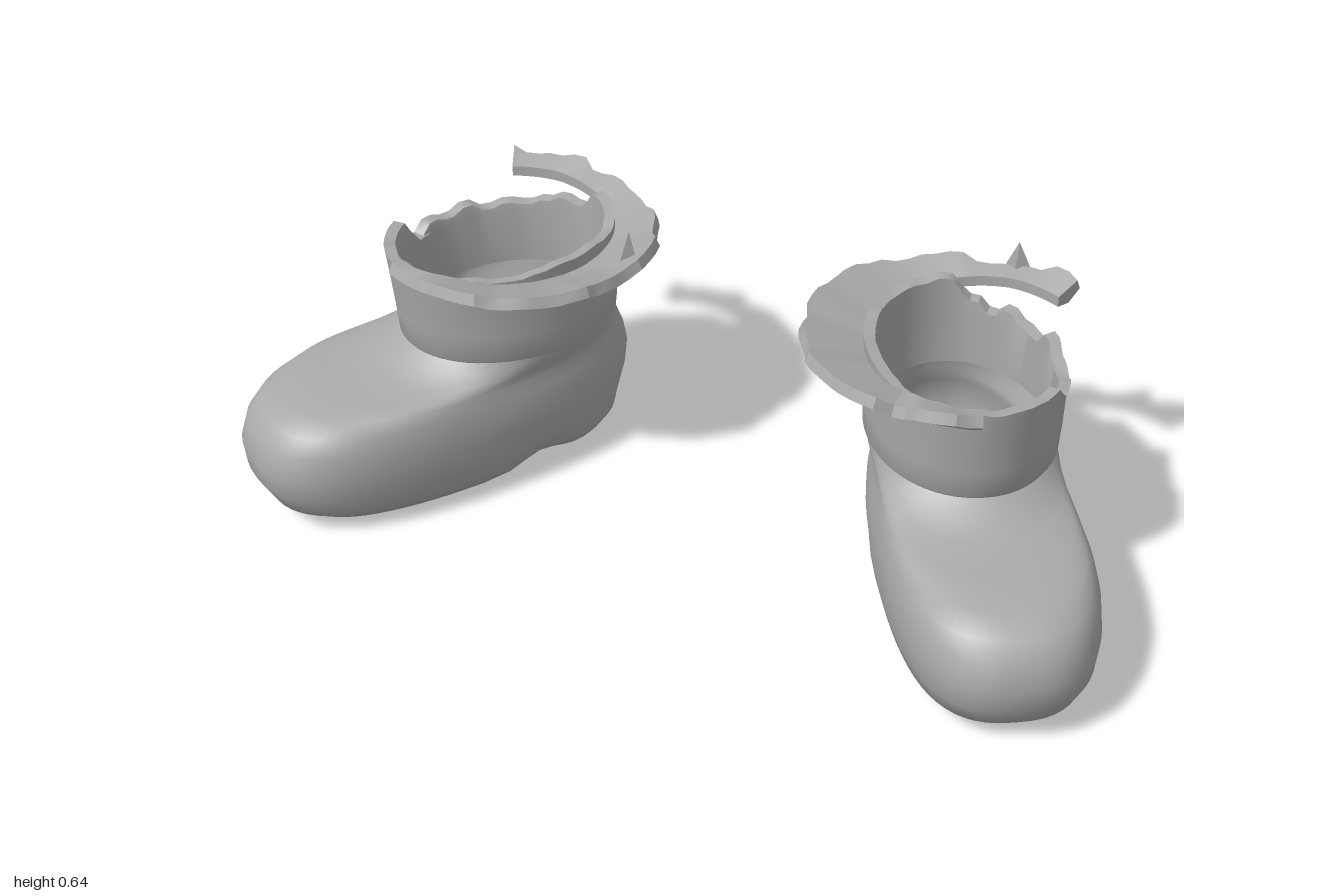
import * as THREE from 'three';
import { toCreasedNormals } from 'three/addons/utils/BufferGeometryUtils.js';

const SEG = 64;
const leather = new THREE.MeshStandardMaterial({ color: 0xa9a9a9, side: THREE.DoubleSide });
leather.name = 'grey leather';

const { lerp, smoothstep } = THREE.MathUtils;
const noise = (i) => { const n = Math.sin(i * 12.9898) * 43758.5453; return n - Math.floor(n); };

// Skin a list of equally long point rings; mirrored boots get reversed winding
function skin(rings, side, crease, capped = false) {
  const n = rings[0].length, pos = rings.flat(2), idx = [];
  const tri = (a, b, c) => (side > 0 ? idx.push(a, b, c) : idx.push(a, c, b));
  for (let j = 0; j < rings.length - 1; j++) {
    for (let i = 0; i < n; i++) {
      const a = j * n + i, b = j * n + (i + 1) % n;
      tri(a, b, b + n);
      tri(a, b + n, a + n);
    }
  }
  if (capped) {
    const e = (rings.length - 1) * n;
    for (let i = 1; i < n - 1; i++) { tri(0, i + 1, i); tri(e, e + i, e + i + 1); }
  }
  const geo = new THREE.BufferGeometry();
  geo.setAttribute('position', new THREE.Float32BufferAttribute(pos, 3));
  geo.setIndex(idx);
  if (crease) return toCreasedNormals(geo, crease);
  geo.computeVertexNormals();
  return geo;
}

// Foot rows from the sole's centre line over the toe to the ankle:
// back, front, half width, height at back, height at front, roundness
const FOOT = [
  [-0.12, 0.38, 0, 0.01, 0.001, 2.8],
  [-0.19, 0.48, 0.12, 0.012, 0.003, 2.7],
  [-0.235, 0.56, 0.175, 0.02, 0.022, 2.7],
  [-0.258, 0.612, 0.202, 0.05, 0.055, 2.6],
  [-0.268, 0.642, 0.217, 0.1, 0.11, 2.6],
  [-0.288, 0.648, 0.223, 0.17, 0.17, 2.6],
  [-0.296, 0.632, 0.222, 0.215, 0.225, 2.5],
  [-0.288, 0.6, 0.214, 0.26, 0.262, 2.5],
  [-0.279, 0.545, 0.206, 0.285, 0.288, 2.4],
  [-0.272, 0.44, 0.202, 0.305, 0.296, 2.3],
  [-0.268, 0.345, 0.202, 0.328, 0.304, 2.2],
  [-0.265, 0.285, 0.204, 0.342, 0.328, 2],
  [-0.262, 0.248, 0.205, 0.352, 0.352, 2],
];

// Shaft rows: up the outside, over the torn rim, down the inside
const SHAFT = [
  [-0.262, 0.246, 0.205, 0.349, 0.349, 2],
  [-0.27, 0.252, 0.21, 0.358, 0.358, 2],
  [-0.275, 0.257, 0.213, 0.42, 0.42, 2],
  [-0.27, 0.265, 0.213, 0.5, 0.5, 2],
  [-0.27, 0.274, 0.218, 0.585, 0.585, 2],
  [-0.245, 0.248, 0.193, 0.582, 0.582, 2],
  [-0.242, 0.238, 0.19, 0.5, 0.5, 2],
  [-0.242, 0.23, 0.188, 0.36, 0.36, 2],
];

function makeBoot(side, cx, cz, seed) {
  const boot = new THREE.Group();
  const turn = THREE.MathUtils.degToRad(32.5), sn = Math.sin(turn), cs = Math.cos(turn);
  const add = (name, geo) => {
    const mesh = new THREE.Mesh(geo, leather);
    mesh.name = name;
    boot.add(mesh);
  };

  // Superellipse ring in the turned-out frame of the boot
  const ring = ([back, front, half, yBack, yFront, e], tweak) =>
    Array.from({ length: SEG }, (_, i) => {
      const a = (i / SEG) * Math.PI * 2, c = Math.cos(a), s = Math.sin(a);
      const u = Math.sign(c) * Math.abs(c) ** (2 / e);
      const v = (back + front) / 2 + (u * (front - back)) / 2;
      const h = lerp(yBack, yFront, (u + 1) / 2);
      const [y, wide, shift] = tweak(h, v, a, i, u);
      const w = Math.sign(s) * Math.abs(s) ** (2 / e) * half * wide + shift;
      return [side * (cx + v * sn + w * cs), y, cz + v * cs - w * sn];
    });

  // Foot, broader and bowed outward at the toe, with a pinched arch ahead of the heel
  const shapeFoot = (y, v, a, i, u) => {
    const arch = Math.exp(-((v / 0.07) ** 2));
    const low = Math.max(0, 1 - y / 0.16);
    const blend = 1 - smoothstep(y, 0.28, 0.35);
    const wide = 1 + blend * (0.1 * u - 0.03) - 0.06 * arch * low;
    return [y + 0.025 * arch * low, wide, 0.012 * smoothstep(v, 0.1, 0.45)];
  };
  add('foot', skin(FOOT.map((r) => ring(r, shapeFoot)), side, 0));

  // Shaft, its rim torn lower on the outer and back side
  const torn = (y, v, a, i) => {
    if (y < 0.55) return [y, 1, 0];
    const outer = smoothstep(Math.cos(a - 1.9), 0.4, 0.6);
    return [y - 0.04 * outer - 0.045 * noise(Math.floor(i / 2) + seed) * (0.3 + 0.7 * outer), 1, 0];
  };
  add('shaft', skin(SHAFT.map((r) => ring(r, torn)), side, 0.7));

  // Ragged cuff folded out from the inner rim, its back end hanging free
  const N = 44, cuff = [];
  for (let i = 0; i <= N; i++) {
    const t = i / N, a = lerp(2.05, -2.0, t);
    const dx = -Math.cos(a), dz = Math.sin(a);
    const rim = 1 / Math.hypot((dx * sn + dz * cs) / 0.268, (dx * cs - dz * sn) / 0.213);
    const inward = Math.max(0, Math.cos(a));
    const jag = noise(Math.floor(i / 2) + seed * 3) - 0.5;
    const rIn = lerp(rim - 0.008, 0.275, smoothstep(t, 0.6, 0.85));
    const rOut = Math.max(rIn + 0.03, 0.295 + 0.04 * t + 0.045 * inward + 0.025 * jag);
    const yIn = lerp(0.56, 0.55, t) - 0.035 * inward;
    const yOut = 0.578 + 0.025 * jag;
    const at = (r, y) => [side * (cx + r * dx), y, cz + r * dz];
    cuff.push([at(rIn, yIn), at((rIn + rOut) / 2, (yIn + yOut) / 2 - 0.02), at(rOut, yOut - 0.012),
      at(rOut - 0.01, yOut + 0.012), at(rIn, yIn + 0.025)]);
  }
  add('tornCuff', skin(cuff, side, 0.5, true));

  // Upright shred on the cuff
  const spike = new THREE.ConeGeometry(0.04, 0.08, 3);
  spike.scale(1, 1, 0.5);
  const a = side > 0 ? -1.55 : -0.05;
  spike.rotateY(side > 0 ? 0 : Math.PI / 2);
  spike.translate(side * (cx - 0.32 * Math.cos(a)), 0.603, cz + 0.32 * Math.sin(a));
  add('cuffShred', toCreasedNormals(spike, 0.3));
  return boot;
}

export function createModel() {
  const model = new THREE.Group();
  const left = makeBoot(1, 0.562, -0.142, 3);
  left.name = 'leftBoot';
  const right = makeBoot(-1, 0.552, -0.105, 11);
  right.name = 'rightBoot';
  model.add(left, right);
  return model;
}
